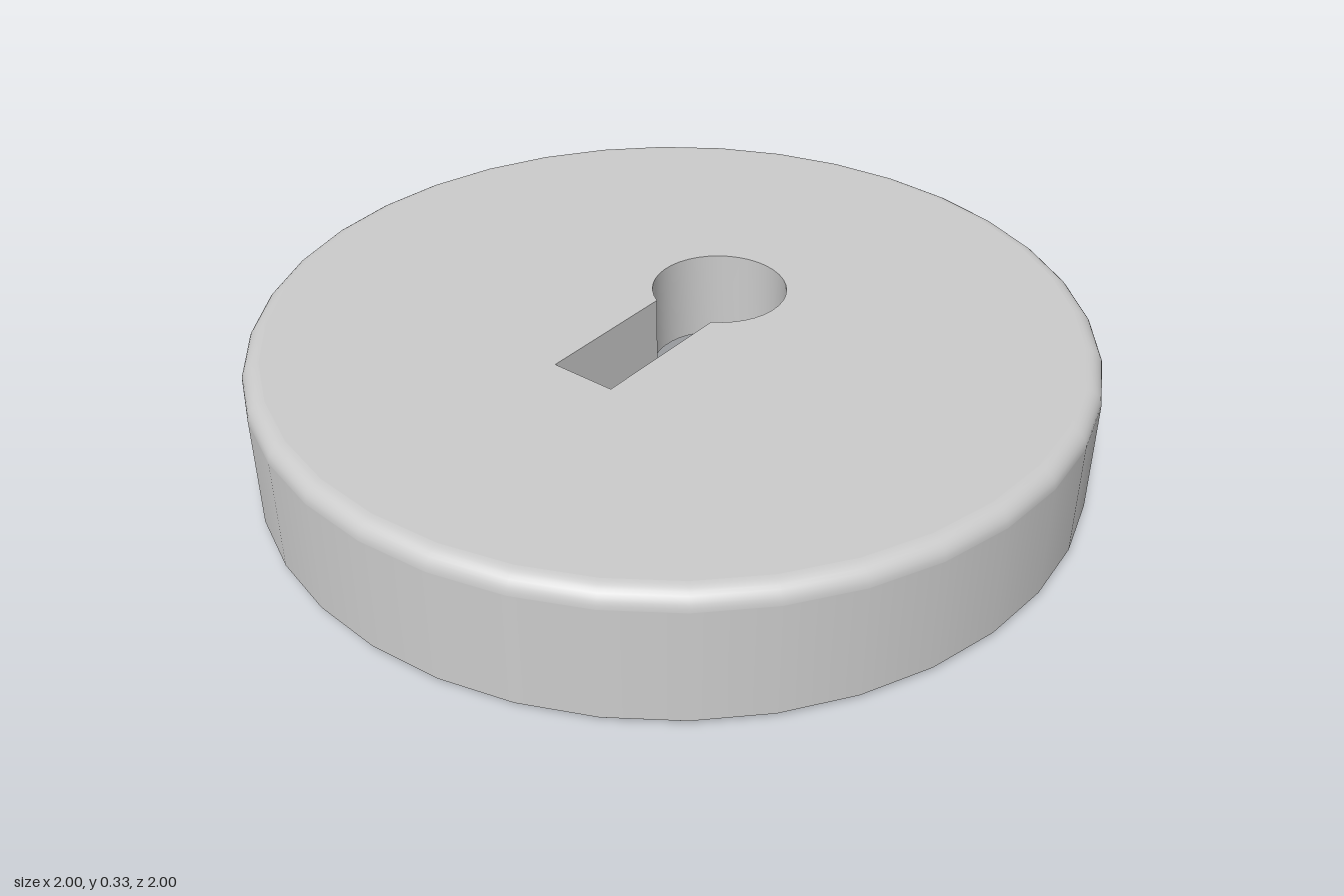
import * as THREE from 'three';
import { toCreasedNormals } from 'three/addons/utils/BufferGeometryUtils.js';

const SIDES = 36, TOP = 0.33, CEILING = 0.106, FILLET = 0.042, CHAMFER = 0.012, RECESS_R = 0.88;
const material = new THREE.MeshStandardMaterial({ color: 0xcccccc });

// Keyhole outline in plan (x, z): round end towards the back, slot towards the front
function keyholePoints() {
  const r = 0.164, half = 0.082, cz = -0.185, end = 0.325, steps = 32;
  const start = -Math.acos(half / r), sweep = Math.PI - 2 * start;
  const pts = [];
  for (let i = 0; i <= steps; i++) {
    const a = start + sweep * i / steps;
    pts.push(new THREE.Vector2(r * Math.cos(a), cz - r * Math.sin(a)));
  }
  pts.push(new THREE.Vector2(-half, end), new THREE.Vector2(half, end));
  return pts;
}

// Flat disc pierced by the keyhole, facing up (dir = 1) or down (dir = -1)
function piercedDisc(radius, y, dir) {
  const rim = [];
  for (let i = 0; i < SIDES; i++) {
    const a = i / SIDES * Math.PI * 2;
    rim.push(new THREE.Vector2(radius * Math.cos(a), radius * Math.sin(a)));
  }
  const shape = new THREE.Shape(rim);
  shape.holes.push(new THREE.Path(keyholePoints().map(p => new THREE.Vector2(p.x, -dir * p.y))));
  return new THREE.ShapeGeometry(shape).rotateX(-dir * Math.PI / 2).translate(0, y, 0);
}

// Inner wall of the keyhole between the recess ceiling and the top face
function keyholeWall() {
  const pts = keyholePoints(), pos = [];
  pts.forEach((p, i) => {
    const q = pts[(i + 1) % pts.length];
    const a = [p.x, CEILING, p.y], b = [q.x, CEILING, q.y];
    const c = [q.x, TOP, q.y], d = [p.x, TOP, p.y];
    pos.push(...a, ...d, ...c, ...a, ...c, ...b);
  });
  const geo = new THREE.BufferGeometry();
  geo.setAttribute('position', new THREE.Float32BufferAttribute(pos, 3));
  return toCreasedNormals(geo, 0.5);
}

const lathe = pts => new THREE.LatheGeometry(pts.map(([x, y]) => new THREE.Vector2(x, y)), SIDES);

export function createModel() {
  const group = new THREE.Group();
  group.name = 'keyholeCover';
  const add = (name, geometry) => {
    const mesh = new THREE.Mesh(geometry, material);
    mesh.name = name;
    group.add(mesh);
  };

  // Outer wall rolling over into the rounded top edge
  const outer = [[1, CHAMFER], [1, TOP - FILLET - 0.001]];
  for (let i = 0; i <= 8; i++) {
    const a = i / 8 * Math.PI / 2;
    outer.push([1 - FILLET + FILLET * Math.cos(a), TOP - FILLET + FILLET * Math.sin(a)]);
  }
  add('outerWall', lathe(outer));

  // Underside: chamfer, rim and shallow recess, kept separate for sharp edges
  add('bottomChamfer', lathe([[1 - CHAMFER, 0], [1, CHAMFER]]));
  add('bottomRim', lathe([[RECESS_R, 0], [1 - CHAMFER, 0]]));
  add('recessWall', lathe([[RECESS_R, CEILING], [RECESS_R, 0]]));
  add('recessCeiling', piercedDisc(RECESS_R, CEILING, -1));

  // Top face and keyhole
  add('topFace', piercedDisc(1 - FILLET, TOP, 1));
  add('keyholeWall', keyholeWall());
  return group;
}
